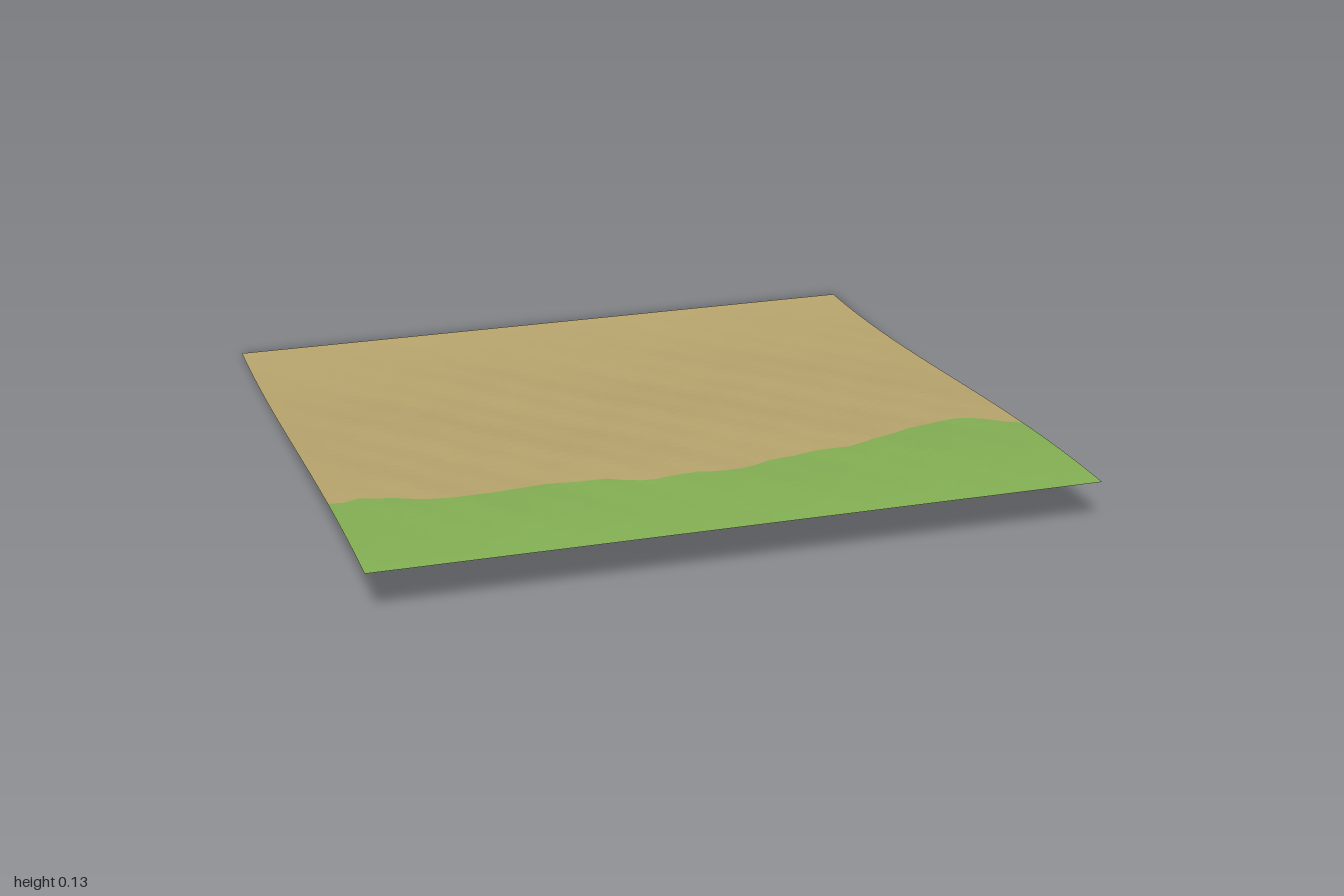
import * as THREE from 'three';

// Shoreline between sand and grass, as x, z pairs
const shore = [
  [-1, 0.5], [-0.96, 0.51], [-0.92, 0.49], [-0.86, 0.515], [-0.82, 0.51], [-0.77, 0.545], [-0.68, 0.57],
  [-0.6, 0.56], [-0.5, 0.55], [-0.41, 0.54], [-0.35, 0.56], [-0.25, 0.56], [-0.2, 0.595], [-0.14, 0.62],
  [-0.07, 0.6], [0, 0.59], [0.06, 0.605], [0.14, 0.6], [0.2, 0.565], [0.3, 0.54], [0.36, 0.52],
  [0.41, 0.525], [0.47, 0.53], [0.52, 0.505], [0.6, 0.475], [0.66, 0.44], [0.72, 0.42], [0.8, 0.4],
  [0.85, 0.4], [0.91, 0.43], [0.95, 0.47], [1, 0.5],
];

const COLUMNS = 48;

function shoreZ(x) {
  let i = 1;
  while (i < shore.length - 1 && shore[i][0] < x) i++;
  const [x0, z0] = shore[i - 1];
  const [x1, z1] = shore[i];
  return z0 + (z1 - z0) * (x - x0) / (x1 - x0);
}

// Gentle S-shaped slope with small bumps that fade out at the borders
function height(x, z) {
  const slope = 0.125 * THREE.MathUtils.smoothstep(z, -1, 1);
  const fade = (1 - z * z) * (1 - x ** 8);
  const bumps = 0.0025 * Math.sin(Math.PI * 2 * x + 5 * z)
    + 0.002 * Math.sin(Math.PI * 3 * x - 9 * z + 1)
    + 0.0015 * Math.sin(Math.PI * 7 * x + 14 * z + 2)
    + 0.001 * Math.sin(Math.PI * 11 * x - 23 * z);
  return slope + fade * bumps;
}

// Sheet of ground spanning two z limits, each a function of x
function ground(name, material, rows, backZ, frontZ) {
  const geometry = new THREE.PlaneGeometry(2, 2, COLUMNS, rows);
  geometry.rotateX(-Math.PI / 2);
  const p = geometry.attributes.position;
  for (let i = 0; i < p.count; i++) {
    const x = p.getX(i);
    const t = (p.getZ(i) + 1) / 2;
    const z = THREE.MathUtils.lerp(backZ(x), frontZ(x), t);
    p.setXYZ(i, x, height(x, z), z);
  }
  geometry.computeVertexNormals();
  const mesh = new THREE.Mesh(geometry, material);
  mesh.name = name;
  return mesh;
}

export function createModel() {
  const sand = new THREE.MeshStandardMaterial({ color: 0xbca970, flatShading: true, side: THREE.DoubleSide });
  sand.name = 'sand';
  const grass = new THREE.MeshStandardMaterial({ color: 0x87b356, flatShading: true, side: THREE.DoubleSide });
  grass.name = 'grass';

  const model = new THREE.Group();
  model.name = 'shoreTile';
  model.add(
    ground('sandSlope', sand, 36, () => -1, shoreZ),
    ground('grassBank', grass, 12, shoreZ, () => 1),
  );
  return model;
}
